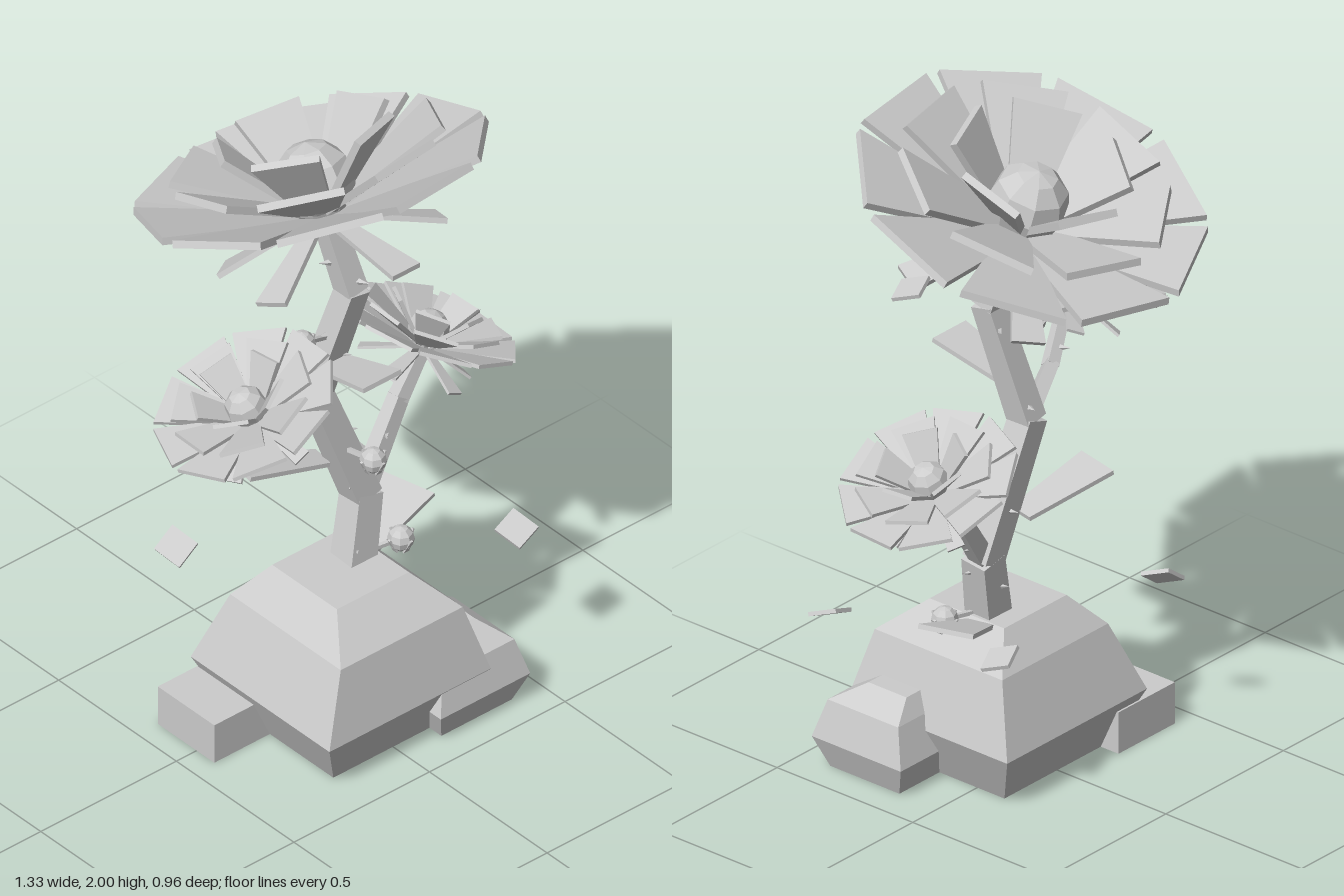
import * as THREE from 'three';

const V = (x, y, z) => new THREE.Vector3(x, y, z);
const UP = V(0, 1, 0);

export function createModel() {
  const root = new THREE.Group();
  root.name = 'flowerTree';
  const stone = new THREE.MeshStandardMaterial({ color: 0xcccccc, flatShading: true });
  stone.name = 'pale grey';

  const add = (parent, geometry, name) => {
    const mesh = new THREE.Mesh(geometry, stone);
    mesh.name = name;
    parent.add(mesh);
    return mesh;
  };

  // Tapered bar or plate running from a to b; "side" is its width direction
  const slab = (parent, name, a, b, side, w0, w1, t0, t1 = t0) => {
    const dir = b.clone().sub(a);
    const len = dir.length();
    dir.normalize();
    const x = side.clone().addScaledVector(dir, -side.dot(dir)).normalize();
    const z = x.clone().cross(dir);
    const g = new THREE.BoxGeometry(1, 1, 1);
    const p = g.attributes.position;
    for (let i = 0; i < p.count; i++) {
      const k = p.getY(i) + 0.5;
      p.setXYZ(i, p.getX(i) * (w0 + (w1 - w0) * k), k * len, p.getZ(i) * (t0 + (t1 - t0) * k));
    }
    g.applyMatrix4(new THREE.Matrix4().makeBasis(x, dir, z).setPosition(a));
    g.computeVertexNormals();
    return add(parent, g, name);
  };

  // Four-sided rock from stacked rectangles [y, x0, x1, z0, z1]
  const rock = (name, rings) => {
    const pos = [], idx = [];
    rings.forEach(([y, x0, x1, z0, z1]) => pos.push(x0, y, z1, x1, y, z1, x1, y, z0, x0, y, z0));
    for (let r = 0; r < rings.length - 1; r++) {
      for (let i = 0; i < 4; i++) {
        const a = r * 4 + i, b = r * 4 + (i + 1) % 4;
        idx.push(a, b, b + 4, a, b + 4, a + 4);
      }
    }
    const n = (rings.length - 1) * 4;
    idx.push(0, 2, 1, 0, 3, 2, n, n + 1, n + 2, n, n + 2, n + 3);
    let g = new THREE.BufferGeometry();
    g.setAttribute('position', new THREE.Float32BufferAttribute(pos, 3));
    g.setIndex(idx);
    g = g.toNonIndexed();
    g.computeVertexNormals();
    add(root, g, name);
  };

  // Base rocks
  rock('mainRock', [
    [0, -0.22, 0.225, -0.1, 0.345],
    [0.165, -0.295, 0.3, -0.175, 0.415],
    [0.38, -0.21, 0.24, -0.105, 0.365],
    [0.48, -0.12, 0.145, -0.03, 0.245],
  ]);
  rock('smallRock', [
    [0, 0.135, 0.395, 0.14, 0.395],
    [0.095, 0.1, 0.43, 0.105, 0.433],
    [0.21, 0.135, 0.4, 0.14, 0.4],
    [0.267, 0.2, 0.33, 0.17, 0.31],
  ]);
  add(root, new THREE.BoxGeometry(0.24, 0.13, 0.24), 'sideBlock').position.set(-0.305, 0.065, -0.045);

  // Trunk and branches as chains of tapering square bars
  const limb = (name, points, w0, w1) => {
    const n = points.length - 1;
    for (let i = 0; i < n; i++) {
      const a = w0 + (w1 - w0) * i / n, b = w0 + (w1 - w0) * (i + 1) / n;
      const ext = points[i + 1].clone().sub(points[i]).setLength(0.01);
      slab(root, name, points[i], points[i + 1].clone().add(ext), V(1, 0, 0.01), a, b, a, b);
    }
  };
  const trunk = [V(0.075, 0.43, 0.085), V(0.13, 0.66, 0.06), V(-0.01, 1.06, 0.02), V(0.06, 1.42, 0.1), V(0.02, 1.68, 0.03)];
  const leftBranch = [V(-0.01, 1.06, 0.02), V(-0.2, 1.125, 0.1), V(-0.39, 1.25, 0.2)];
  const rightBranch = [V(0.13, 0.66, 0.06), V(0.29, 0.89, 0.03), V(0.41, 1.0, 0)];
  limb('trunk', trunk, 0.095, 0.062);
  limb('leftBranch', leftBranch, 0.045, 0.03);
  limb('rightBranch', rightBranch, 0.055, 0.035);

  // Thorns winding round the limbs
  const thorns = (points, perPart, reach) => {
    let turn = 0;
    for (let i = 0; i < points.length - 1; i++) {
      for (let k = 0; k < perPart; k++) {
        const p = points[i].clone().lerp(points[i + 1], (k + 0.6) / (perPart + 0.4));
        const out = V(Math.cos(turn), 0.15, Math.sin(turn)).normalize();
        turn += 2.2;
        const m = add(root, new THREE.ConeGeometry(0.011, 0.04, 4), 'thorn');
        m.position.copy(p).addScaledVector(out, reach);
        m.quaternion.setFromUnitVectors(UP, out);
      }
    }
  };
  thorns(trunk, 4, 0.052);
  thorns(leftBranch, 2, 0.03);
  thorns(rightBranch, 2, 0.035);

  // Layered flower: petal rings, drooping sepals and a faceted centre
  const flower = (name, base, normal, scale) => {
    const f = new THREE.Group();
    f.name = name;
    f.position.copy(base);
    f.quaternion.setFromUnitVectors(UP, normal.normalize());
    f.scale.setScalar(scale);
    root.add(f);
    const ring = (part, count, start, r0, h0, r1, h1, w0, w1, t) => {
      for (let i = 0; i < count; i++) {
        const a = start + i * Math.PI * 2 / count;
        const u = V(Math.sin(a), 0, -Math.cos(a));
        const at = (r, h) => u.clone().multiplyScalar(r).setY(h);
        slab(f, part, at(r0, h0), at(r1, h1), UP.clone().cross(u), w0, w1, t);
      }
    };
    ring('outerPetal', 9, 0.23, 0.06, 0, 0.49, 0.125, 0.09, 0.305, 0.022);
    ring('middlePetal', 7, 0.28, 0.06, 0.03, 0.375, 0.19, 0.1, 0.25, 0.022);
    ring('innerPetal', 5, 0.25, 0.06, 0.05, 0.24, 0.255, 0.1, 0.2, 0.022);
    ring('sepal', 5, Math.PI / 5, 0.03, -0.01, 0.33, -0.13, 0.045, 0.1, 0.016);
    add(f, new THREE.CylinderGeometry(0.09, 0.05, 0.06, 8), 'calyx').position.y = 0;
    add(f, new THREE.SphereGeometry(0.118, 8, 6), 'flowerCentre').position.y = 0.1;
  };
  flower('topFlower', V(0.015, 1.67, 0.03), V(0, 0.935, -0.355), 1);
  flower('rightSmallFlower', V(-0.39, 1.25, 0.2), V(-0.4, 0.91, -0.08), 0.53);
  flower('leftSmallFlower', V(0.41, 1.0, 0), V(0.42, 0.9, 0), 0.51);

  // Buds held by four small sepals on short stalks
  [
    [V(-0.11, 1.31, 0.085), V(0.02, 1.26, 0.06)],
    [V(0.075, 0.865, 0.175), V(0.06, 0.85, 0.05)],
    [V(0.225, 0.49, 0.12), V(0.1, 0.48, 0.09)],
  ].forEach(([p, from]) => {
    slab(root, 'budStalk', from, p, V(0.1, 0, 1), 0.012, 0.012, 0.012);
    add(root, new THREE.SphereGeometry(0.039, 8, 6), 'bud').position.copy(p);
    for (let i = 0; i < 4; i++) {
      const u = V(Math.cos(i * Math.PI / 2), 0, Math.sin(i * Math.PI / 2));
      slab(root, 'budSepal', p.clone().addScaledVector(u, 0.02).add(V(0, -0.036, 0)),
        p.clone().addScaledVector(u, 0.044).add(V(0, 0.012, 0)), UP.clone().cross(u), 0.02, 0.008, 0.006);
    }
  });

  // Leaves
  const Z = V(0, 0, 1), X = V(1, 0, 0);
  slab(root, 'leaf', V(0.0, 1.18, 0.06), V(0.0, 1.245, 0.3), X, 0.1, 0.14, 0.014);
  slab(root, 'leaf', V(0.04, 0.79, 0.0), V(-0.23, 0.86, -0.05), Z, 0.08, 0.14, 0.014);
  slab(root, 'leaf', V(0.08, 1.51, 0.04), V(0.13, 1.55, -0.24), V(1, 0.1, 0), 0.06, 0.1, 0.014);
  slab(root, 'leaf', V(0.13, 0.46, 0.06), V(0.36, 0.545, 0.0), V(0, 0.12, -1), 0.08, 0.17, 0.014);

  // Drifting loose petals
  [
    [0.46, 0.53, 0.34, 0.3], [0.36, 0.53, -0.2, -0.4],
    [-0.31, 0.53, -0.22, 0.6], [0.45, 1.645, 0.05, -0.35],
  ].forEach(([x, y, z, tilt]) => {
    const m = add(root, new THREE.BoxGeometry(0.085, 0.012, 0.09), 'loosePetal');
    m.position.set(x, y, z);
    m.rotation.set(0.35, 0.25, tilt);
  });

  return root;
}
